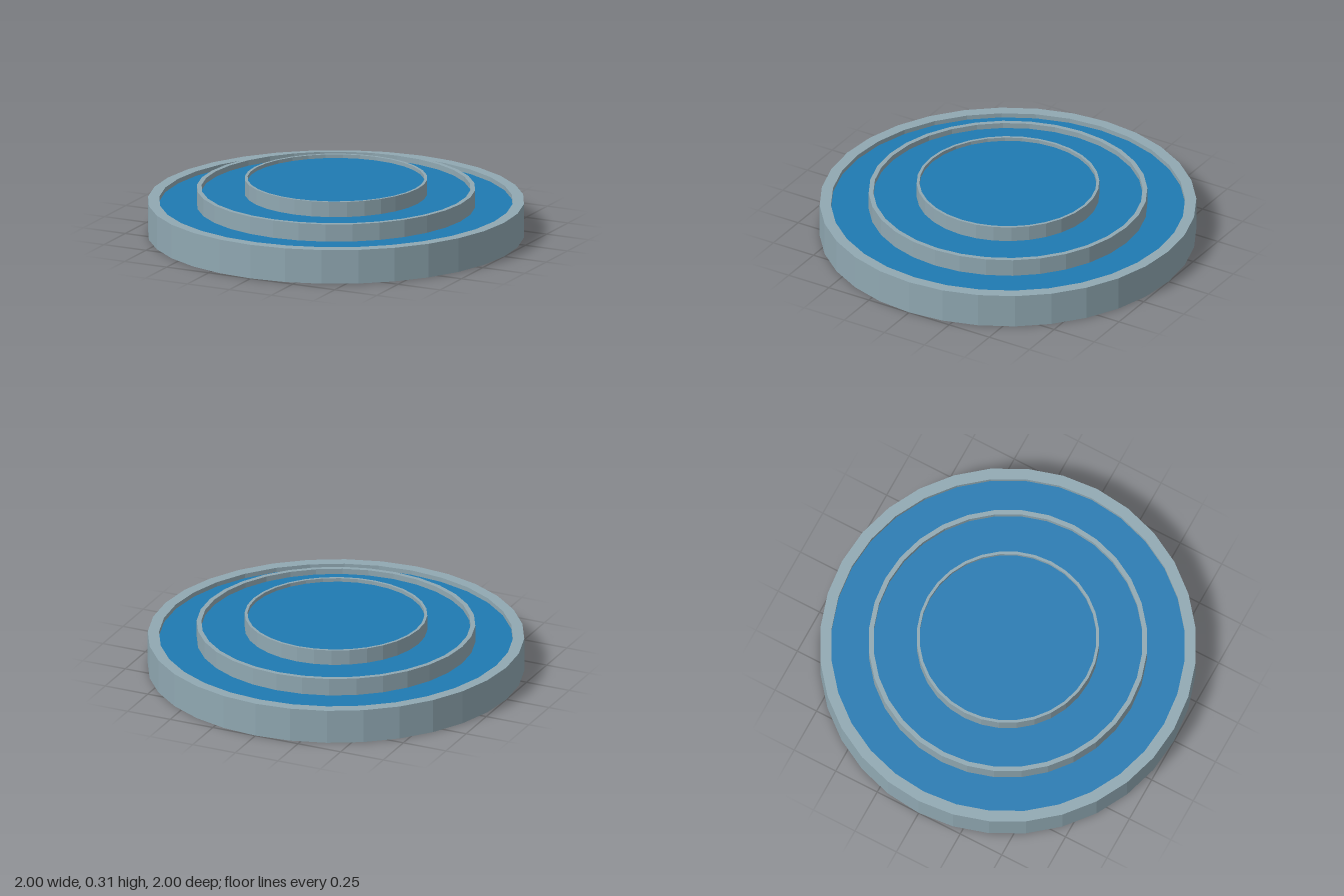
import * as THREE from 'three';

const SIDES = 32;
const stone = new THREE.MeshStandardMaterial({ color: 0x90a8b2, flatShading: true });
const water = new THREE.MeshStandardMaterial({ color: 0x1f7ab2, flatShading: true });

// One round basin: closed underside, outer wall, flat rim and inner wall, filled with water
function makeTier({ name, outer, inner, bottom, top, level }) {
  const tier = new THREE.Group();
  tier.name = name;

  const profile = [
    [0, bottom], [outer, bottom], [outer, top], [inner, top], [inner, level],
  ].map(([x, y]) => new THREE.Vector2(x, y));
  const basin = new THREE.Mesh(new THREE.LatheGeometry(profile, SIDES), stone);
  basin.name = name + 'Basin';

  const surface = new THREE.Mesh(new THREE.CircleGeometry(inner, SIDES).rotateX(-Math.PI / 2), water);
  surface.position.y = level;
  surface.name = name + 'Water';

  tier.add(basin, surface);
  return tier;
}

export function createModel() {
  const fountain = new THREE.Group();
  fountain.name = 'tieredPool';

  // Each tier stands on the water surface of the one below
  const tiers = [
    { name: 'lower', outer: 1, inner: 0.94, bottom: 0, top: 0.185, level: 0.16 },
    { name: 'middle', outer: 0.74, inner: 0.715, bottom: 0.16, top: 0.255, level: 0.225 },
    { name: 'upper', outer: 0.485, inner: 0.47, bottom: 0.225, top: 0.308, level: 0.288 },
  ];
  for (const t of tiers) fountain.add(makeTier(t));
  return fountain;
}
